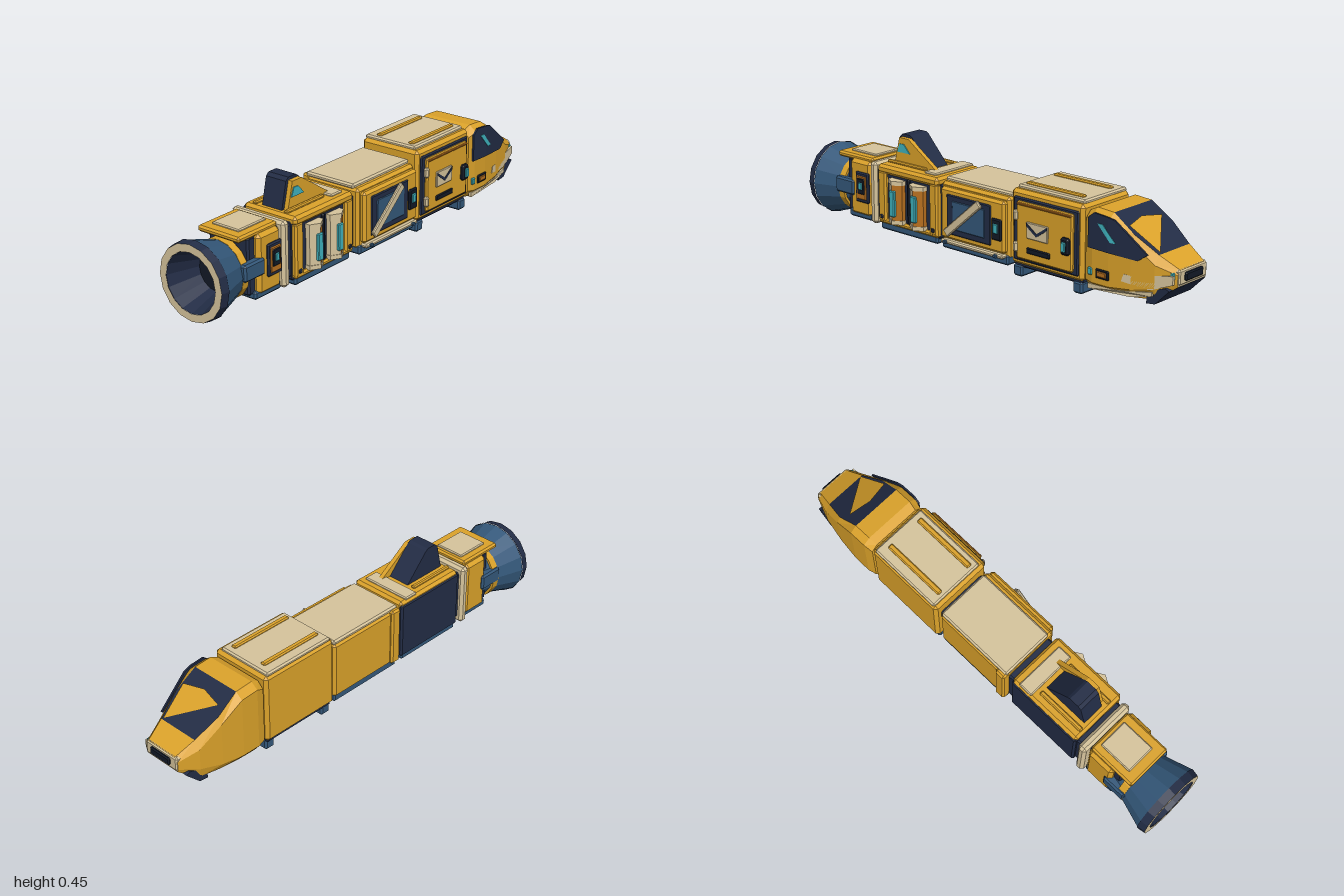
import * as THREE from 'three';
import { ConvexGeometry } from 'three/addons/geometries/ConvexGeometry.js';

export function createModel() {
  const root = new THREE.Group();
  root.name = 'cargoShip';
  const colour = (name, hex, side = THREE.FrontSide) => {
    const m = new THREE.MeshStandardMaterial({ color: hex, side });
    m.name = name;
    return m;
  };
  const yellow = colour('yellow', 0xdba22a);
  const cream = colour('cream', 0xd6c49c);
  const navy = colour('navy', 0x222c45, THREE.DoubleSide);
  const black = colour('nearBlack', 0x121926);
  const blue = colour('steelBlue', 0x34587a);
  const cyan = colour('cyan', 0x3fb4c0);
  const orange = colour('orange', 0xb8701f);

  const add = (name, geo, mat) => {
    let g = geo;
    if (g.index) g = g.toNonIndexed();
    g.computeVertexNormals();
    const m = new THREE.Mesh(g, mat);
    m.name = name;
    root.add(m);
    return m;
  };

  // Chamfered box given by its limits
  function box(name, mat, x0, x1, y0, y1, z0, z1, c = 0.008) {
    c = Math.min(c, (x1 - x0) / 3, (y1 - y0) / 3, (z1 - z0) / 3);
    const pts = [];
    for (const [x, sx] of [[x0, 1], [x1, -1]])
      for (const [y, sy] of [[y0, 1], [y1, -1]])
        for (const [z, sz] of [[z0, 1], [z1, -1]])
          pts.push(
            new THREE.Vector3(x, y + sy * c, z + sz * c),
            new THREE.Vector3(x + sx * c, y, z + sz * c),
            new THREE.Vector3(x + sx * c, y + sy * c, z));
    return add(name, new ConvexGeometry(pts), mat);
  }

  // Upright plate cut from an xy outline, optionally bent by a rule for z
  function plate(name, mat, outline, z, depth, bend) {
    const s = new THREE.Shape(outline.map(([x, y]) => new THREE.Vector2(x, y)));
    const g = new THREE.ExtrudeGeometry(s, { depth, bevelEnabled: false });
    g.translate(0, 0, z);
    if (bend) {
      const p = g.attributes.position;
      for (let i = 0; i < p.count; i++) p.setZ(i, p.getZ(i) + bend(p.getX(i)));
    }
    return add(name, g, mat);
  }

  // ---- Engine nozzle, along x ----
  const AY = 0.168, AZ = -0.018;
  function tube(name, mat, x0, x1, r0, r1, open = false) {
    const g = new THREE.CylinderGeometry(r0, r1, x1 - x0, 16, 1, open);
    g.rotateZ(Math.PI / 2).translate((x0 + x1) / 2, AY, AZ);
    return add(name, g, mat);
  }
  tube('nozzleRim', navy, -1, -0.965, 0.157, 0.163, true);
  tube('nozzleBell', blue, -0.965, -0.84, 0.161, 0.122, true);
  tube('nozzleInside', navy, -0.999, -0.86, 0.125, 0.08, true);
  tube('nozzleBack', black, -0.865, -0.855, 0.1, 0.1);
  tube('nozzleCollar', yellow, -0.845, -0.812, 0.125, 0.125);
  tube('nozzleNeck', blue, -0.815, -0.76, 0.115, 0.105);
  add('nozzleLip', new THREE.RingGeometry(0.125, 0.157, 16).rotateY(-Math.PI / 2).translate(-1, AY, AZ), cream);

  // ---- Engine module ----
  box('engineCore', navy, -0.8, -0.62, 0.07, 0.31, -0.11, 0.09);
  box('engineBody', yellow, -0.765, -0.635, 0.065, 0.315, -0.132, 0.112, 0.015);
  box('engineRoof', yellow, -0.855, -0.635, 0.305, 0.33, -0.115, 0.095);
  box('engineRoofPanel', cream, -0.81, -0.655, 0.325, 0.338, -0.08, 0.055);
  box('engineBase', blue, -0.78, -0.63, 0.05, 0.085, -0.125, 0.105);
  for (const [z0, z1] of [[-0.143, -0.1], [0.08, 0.12]])
    box('engineArm', blue, -0.85, -0.735, 0.15, 0.22, z0, z1);
  box('engineHatch', navy, -0.72, -0.64, 0.13, 0.265, 0.105, 0.122);
  box('engineHatchInset', orange, -0.71, -0.65, 0.145, 0.25, 0.115, 0.126);
  box('engineHatchPanel', black, -0.702, -0.658, 0.17, 0.24, 0.12, 0.13);
  box('engineLight', cyan, -0.69, -0.668, 0.19, 0.222, 0.125, 0.134);

  box('creamCollar', cream, -0.632, -0.592, 0.05, 0.325, -0.147, 0.12, 0.012);

  // ---- Couplings between modules ----
  for (const [x0, x1] of [[-0.6, -0.56], [-0.225, -0.18], [0.18, 0.22], [0.56, 0.6]])
    box('coupling', navy, x0, x1, 0.075, 0.3, -0.125, 0.105);

  // ---- Canister module with fin ----
  box('canisterBody', navy, -0.573, -0.217, 0.06, 0.315, -0.14, 0.115);
  box('canisterBase', blue, -0.565, -0.225, 0.038, 0.08, -0.135, 0.12);
  box('canisterRoof', yellow, -0.573, -0.215, 0.288, 0.328, -0.135, 0.13, 0.012);
  box('canisterSill', yellow, -0.57, -0.217, 0.068, 0.09, 0.1, 0.128);
  for (const x of [-0.57, -0.265]) {
    box('canisterPost', yellow, x, x + 0.048, 0.075, 0.3, 0.09, 0.13);
    box('canisterBolt', navy, x + 0.015, x + 0.033, 0.09, 0.108, 0.125, 0.135, 0.003);
  }
  box('canisterRoofPanel', cream, -0.318, -0.25, 0.322, 0.336, -0.13, 0.1);
  for (const x of [-0.456, -0.33]) {
    const half = (name, mat, start) => add(name, new THREE.CylinderGeometry(0.045, 0.045, 0.17, 3, 1, true, start, Math.PI)
      .translate(x, 0.185, 0.112), mat);
    half('canisterLeftHalf', cream, Math.PI);
    half('canisterRightHalf', orange, 0);
    for (const y of [0.095, 0.268])
      add('canisterCap', new THREE.CylinderGeometry(0.048, 0.048, 0.018, 6).translate(x, y, 0.112), cream);
    box('canisterLight', cyan, x - 0.015, x + 0.015, 0.12, 0.235, 0.14, 0.161, 0.004);
  }
  box('canisterDivider', black, -0.402, -0.384, 0.09, 0.288, 0.1, 0.126);
  const fin = [[-0.548, 0.32], [-0.33, 0.32], [-0.448, 0.445], [-0.46, 0.453], [-0.505, 0.453], [-0.52, 0.44]];
  plate('fin', navy, fin, -0.06, 0.1);
  plate('finFace', yellow, [[-0.535, 0.32], [-0.275, 0.325], [-0.45, 0.441], [-0.505, 0.441]], 0.04, 0.02);
  plate('finWindow', cyan, [[-0.515, 0.378], [-0.44, 0.378], [-0.475, 0.415], [-0.5, 0.415]], 0.06, 0.004);
  for (const z of [-0.1, 0.06]) box('finFoot', yellow, -0.56, -0.335, 0.325, 0.339, z, z + 0.02);

  // ---- Workshop module ----
  box('workshopBody', yellow, -0.19, 0.188, 0.065, 0.325, -0.145, 0.13, 0.012);
  box('workshopBase', blue, -0.185, 0.185, 0.04, 0.085, -0.14, 0.135);
  box('workshopRoof', cream, -0.188, 0.185, 0.318, 0.34, -0.14, 0.105);
  box('workshopRib', yellow, -0.19, -0.14, 0.07, 0.33, -0.158, -0.12);
  box('workshopFront', yellow, -0.175, 0.18, 0.09, 0.31, 0.12, 0.153, 0.012);
  box('workshopRail', cream, -0.17, 0.175, 0.07, 0.088, 0.125, 0.16);
  for (const x of [-0.15, 0.13]) box('workshopRailBolt', blue, x, x + 0.02, 0.072, 0.086, 0.155, 0.168, 0.003);
  box('workshopWindowFrame', navy, -0.135, 0.11, 0.115, 0.285, 0.145, 0.158);
  box('workshopWindow', blue, -0.1, 0.08, 0.14, 0.262, 0.15, 0.161, 0.003);
  box('workshopKeypad', black, 0.115, 0.17, 0.145, 0.235, 0.145, 0.162);
  box('workshopKeypadLight', cyan, 0.13, 0.155, 0.175, 0.215, 0.155, 0.167, 0.003);
  box('workshopBar', cream, -0.125, 0.125, -0.017, 0.017, -0.007, 0.007, 0.004)
    .rotation.z = 0.71;
  root.children.at(-1).position.set(-0.037, 0.2, 0.165);

  // ---- Mail module ----
  box('mailBody', yellow, 0.2, 0.573, 0.06, 0.372, -0.155, 0.135, 0.014);
  box('mailUnderside', navy, 0.21, 0.565, 0.048, 0.075, -0.145, 0.125);
  box('mailRoof', cream, 0.215, 0.56, 0.365, 0.385, -0.15, 0.11);
  for (const z of [-0.105, 0.06]) box('mailRoofRail', yellow, 0.235, 0.53, 0.378, 0.393, z, z + 0.025);
  for (const x of [0.208, 0.518]) box('mailSkid', blue, x, x + 0.048, 0.008, 0.058, -0.137, 0.13);
  box('mailDoorFrame', navy, 0.22, 0.555, 0.082, 0.345, 0.125, 0.142);
  box('mailDoor', yellow, 0.245, 0.535, 0.095, 0.332, 0.135, 0.155);
  box('mailDoorTrim', orange, 0.25, 0.53, 0.318, 0.328, 0.145, 0.159, 0.003);
  for (const y of [0.12, 0.25]) box('mailHinge', cream, 0.232, 0.256, y, y + 0.045, 0.14, 0.164);
  box('mailSlot', black, 0.305, 0.425, 0.128, 0.152, 0.148, 0.162, 0.004);
  box('envelope', cream, 0.305, 0.415, 0.19, 0.258, 0.15, 0.162, 0.003);
  plate('envelopeFlap', navy, [[0.307, 0.255], [0.307, 0.243], [0.36, 0.206], [0.413, 0.243], [0.413, 0.255], [0.36, 0.219]], 0.162, 0.003);
  box('mailHandle', black, 0.485, 0.528, 0.165, 0.235, 0.145, 0.172);
  box('mailHandleLight', cyan, 0.497, 0.516, 0.18, 0.22, 0.165, 0.18, 0.003);

  // ---- Cab: loft of eight-sided sections ----
  // x, bottom, top, top half width, side half width, bottom half width, upper and lower side edge
  const sections = [
    [0.582, 0.05, 0.352, 0.11, 0.138, 0.115, 0.325, 0.08],
    [0.62, 0.04, 0.37, 0.115, 0.147, 0.118, 0.345, 0.075],
    [0.70, 0.042, 0.365, 0.115, 0.147, 0.118, 0.34, 0.075],
    [0.80, 0.05, 0.3, 0.12, 0.137, 0.115, 0.272, 0.085],
    [0.90, 0.062, 0.235, 0.095, 0.12, 0.108, 0.2, 0.108],
    [0.985, 0.125, 0.19, 0.075, 0.09, 0.085, 0.172, 0.138],
  ];
  const loops = sections.map(([x, yb, yt, wt, wm, wb, ys, yl]) => [
    [wb, yb], [wm, yl], [wm, ys], [wt, yt], [-wt, yt], [-wm, ys], [-wm, yl], [-wb, yb],
  ].map(([z, y]) => [x, y, z - 0.01]));
  const skin = { yellow: [], navy: [], cream: [] };
  for (let i = 0; i < loops.length - 1; i++)
    for (let j = 0; j < 8; j++) {
      const k = (j + 1) % 8;
      const [a, b, c, d] = [loops[i][j], loops[i + 1][j], loops[i + 1][k], loops[i][k]];
      const glass = j === 3 && (i === 2 || i === 3);
      skin[glass || j === 7 ? 'navy' : 'yellow'].push(...a, ...b, ...c, ...a, ...c, ...d);
    }
  const [rear, nose] = [loops[0], loops.at(-1)];
  for (let j = 1; j < 7; j++) {
    skin.yellow.push(...rear[0], ...rear[j], ...rear[j + 1]);
    skin.cream.push(...nose[0], ...nose[j + 1], ...nose[j]);
  }
  const mats = { yellow, navy, cream };
  for (const key of Object.keys(skin)) {
    const g = new THREE.BufferGeometry();
    g.setAttribute('position', new THREE.Float32BufferAttribute(skin[key], 3));
    add({ yellow: 'cabHull', navy: 'cabGlassAndFloor', cream: 'cabNose' }[key], g, mats[key]);
  }

  // Yellow wedge on the windscreen, lying on its slope
  const wedge = new THREE.BufferGeometry();
  const onGlass = (y, z) => [0.7 + (0.365 - y) / 0.65 + 0.003, y + 0.004, z];
  const w = [onGlass(0.335, 0), onGlass(0.322, 0.1), onGlass(0.238, 0.075), onGlass(0.322, -0.1)];
  wedge.setAttribute('position', new THREE.Float32BufferAttribute([w[0], w[1], w[2], w[0], w[2], w[3]].flat(), 3));
  add('windscreenWedge', wedge, yellow);

  // Side window, bent along the taper
  const taper = (x) => (x > 0.7 ? -0.12 * (x - 0.7) : 0);
  plate('sideWindowRear', navy, [[0.602, 0.215], [0.7, 0.212], [0.7, 0.352], [0.63, 0.358], [0.602, 0.335]], 0.134, 0.008);
  plate('sideWindowFront', navy, [[0.7, 0.212], [0.83, 0.205], [0.872, 0.235], [0.73, 0.345], [0.7, 0.352]], 0.134, 0.008, taper);
  plate('sideWindowGlint', cyan, [[0.71, 0.255], [0.735, 0.255], [0.675, 0.32], [0.65, 0.32]], 0.141, 0.004, taper);

  // Nose and lower trim
  box('noseFrame', cream, 0.955, 0.99, 0.128, 0.192, -0.1, 0.077);
  box('noseGrille', black, 0.98, 1, 0.144, 0.178, -0.064, 0.044, 0.005);
  add('chin', new ConvexGeometry([-0.122, 0.104].flatMap((z) =>
    [[0.86, 0.04], [0.9, 0.045], [0.965, 0.11], [0.945, 0.118], [0.86, 0.09]].map(([x, y]) => new THREE.Vector3(x, y, z)))), navy);
  plate('cheekTrim', cream, [[0.76, 0.112], [0.88, 0.098], [0.975, 0.135], [0.975, 0.17], [0.9, 0.16], [0.86, 0.138], [0.77, 0.142]],
    0.132, 0.012, (x) => (x > 0.7 ? -0.17 * (x - 0.7) : 0));
  plate('lowerTrim', cream, [[0.6, 0.048], [0.8, 0.055], [0.89, 0.075], [0.89, 0.092], [0.75, 0.07], [0.6, 0.068]], 0.122, 0.014, taper);
  box('cabVent', black, 0.64, 0.705, 0.1, 0.138, 0.13, 0.143, 0.004);
  box('cabVentPlate', orange, 0.65, 0.695, 0.108, 0.13, 0.138, 0.147, 0.003);
  box('cabLight', cyan, 0.6, 0.622, 0.105, 0.135, 0.128, 0.142, 0.004);
  box('noseLight', cyan, 0.955, 0.975, 0.152, 0.18, 0.078, 0.09, 0.004);

  return root;
}
